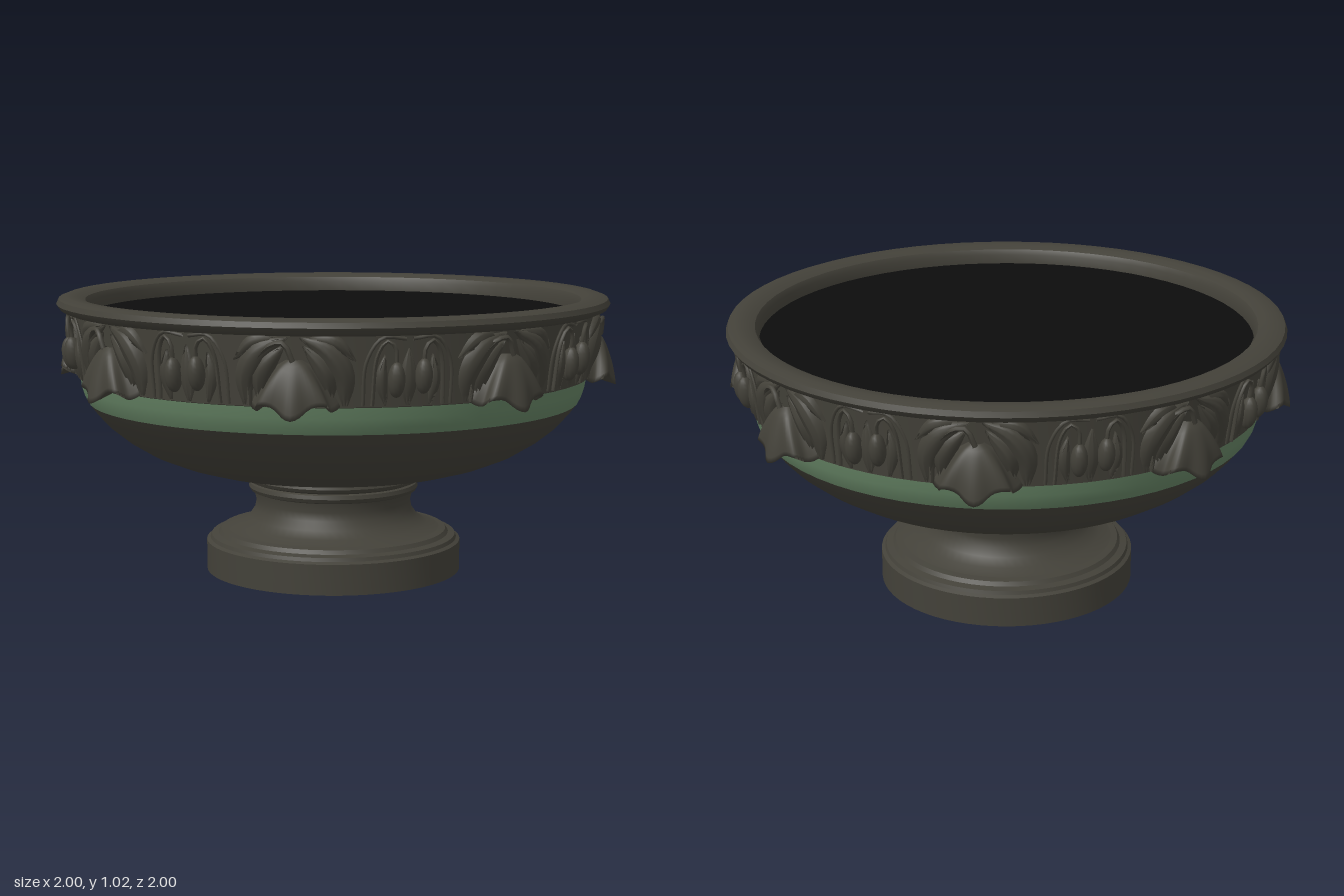
import * as THREE from 'three';
import { toCreasedNormals } from 'three/addons/utils/BufferGeometryUtils.js';

const paint = (name, color, side = THREE.FrontSide) => {
  const m = new THREE.MeshStandardMaterial({ color, side });
  m.name = name;
  return m;
};

export function createModel() {
  const urn = new THREE.Group();
  urn.name = 'gardenUrn';
  const bronze = paint('darkBronze', 0x434139, THREE.DoubleSide);
  const patina = paint('greenPatina', 0x648263);
  const soil = paint('blackFill', 0x0d0d0d);

  const add = (name, geometry, material, parent = urn) => {
    const mesh = new THREE.Mesh(geometry, material);
    mesh.name = name;
    parent.add(mesh);
    return mesh;
  };
  const turned = (name, profile, material) => {
    const points = profile.map(([r, y]) => new THREE.Vector2(r, y));
    return add(name, toCreasedNormals(new THREE.LatheGeometry(points, 64), 0.6), material);
  };

  // Turned body, from the ground up
  turned('footPlinth', [[0, 0], [0.468, 0], [0.468, 0.11], [0.455, 0.117], [0.45, 0.13],
    [0.425, 0.136], [0.415, 0.15], [0.39, 0.155]], bronze);
  turned('pedestalNeck', [[0.39, 0.155], [0.345, 0.17], [0.31, 0.195], [0.29, 0.225], [0.284, 0.255],
    [0.292, 0.29], [0.305, 0.295], [0.312, 0.308], [0.308, 0.322], [0.298, 0.326], [0.315, 0.333],
    [0.322, 0.345], [0.318, 0.357]], bronze);
  turned('lowerBowl', [[0.3, 0.355], [0.4, 0.371], [0.5, 0.39], [0.59, 0.416], [0.68, 0.453],
    [0.76, 0.502], [0.82, 0.55], [0.865, 0.6], [0.892, 0.635]], bronze);
  turned('patinaBand', [[0.892, 0.635], [0.905, 0.66], [0.914, 0.69], [0.921, 0.735]], patina);
  turned('friezeWall', [[0.919, 0.727], [0.928, 0.73], [0.945, 0.97]], bronze);
  turned('rolledRim', [[0.935, 0.965], [0.965, 0.962], [0.988, 0.972], [1, 0.99], [0.992, 1.008],
    [0.965, 1.018], [0.925, 1.016], [0.897, 1.004], [0.885, 0.985], [0.885, 0.94]], bronze);
  const fill = add('bowlFill', new THREE.CircleGeometry(0.888, 64), soil);
  fill.rotation.x = -Math.PI / 2;
  fill.position.y = 0.95;

  // Wrap relief drawn flat (x along wall, y up, z outward) around the bowl
  const wrap = (geometry) => {
    const p = geometry.attributes.position;
    for (let i = 0; i < p.count; i++) {
      const y = p.getY(i), a = p.getX(i) / 0.95;
      const r = 0.924 + 0.085 * (y - 0.72) + p.getZ(i);
      p.setXYZ(i, r * Math.sin(a), y, r * Math.cos(a));
    }
    geometry.computeVertexNormals();
    return geometry;
  };
  const grid = (nu, nv, rule) => {
    const g = new THREE.PlaneGeometry(2, 1, nu, nv);
    const p = g.attributes.position;
    for (let i = 0; i < p.count; i++) p.setXYZ(i, ...rule(p.getX(i), 0.5 - p.getY(i)));
    return wrap(g);
  };
  const curve = (points) => new THREE.CatmullRomCurve3(points.map((q) => new THREE.Vector3(...q)));
  const stem = (points, r = 0.007) => wrap(new THREE.TubeGeometry(curve(points), 14, r, 6));
  // Pointed leaf with a raised midrib, swept along a curve
  const leaf = (points, width, height) => {
    const path = curve(points);
    return grid(6, 12, (s, t) => {
      const c = path.getPoint(t), d = path.getTangent(t);
      const w = width * Math.sin(Math.PI * Math.min(0.98, t * 0.9 + 0.08)) * s;
      const z = c.z + height * (1 - s * s) * Math.sin(Math.PI * t) + 0.006 * Math.cos(s * 9);
      return [c.x - d.y * w, c.y + d.x * w, z];
    });
  };

  // Drooping flower: half bell with a flared, scalloped and turned-under hem
  const bell = grid(32, 12, (s, t) => {
    const a = s * Math.PI / 2, k = Math.min(t / 0.84, 1);
    const under = t > 0.86 ? (t - 0.86) / 0.14 : 0;
    const open = Math.pow(Math.sin(k * Math.PI / 2), 0.65);
    const fold = 1 + 0.09 * k * Math.cos(a * 8);
    const width = 0.025 + 0.085 * open + 0.03 * k * k;
    const depth = 0.025 + 0.062 * open + 0.012 * k * k;
    const hem = 0.018 * k * Math.cos(a * 5) + 0.025 * k * (1 - Math.abs(s));
    return [width * fold * Math.sin(a) * (1 - 0.3 * under),
      0.885 - 0.145 * k - hem + 0.03 * under,
      depth * fold * Math.cos(a) * (1 - 0.85 * under) - 0.004];
  });
  const flowerStem = stem([[-0.15, 0.735, 0.006], [-0.14, 0.83, 0.012], [-0.09, 0.92, 0.022],
    [-0.03, 0.94, 0.03], [0, 0.88, 0.03]], 0.009);
  const bud = (x, y) => wrap(new THREE.SphereGeometry(1, 14, 10)
    .scale(0.028, 0.058, 0.032).translate(x, y, 0.022));

  const flowerParts = [['flowerBell', bell], ['flowerStem', flowerStem]];
  const budParts = [];
  for (const m of [-1, 1]) {
    flowerParts.push(
      ['archingLeaf', leaf([[m * 0.165, 0.735, 0.004], [m * 0.16, 0.83, 0.01], [m * 0.11, 0.91, 0.014],
        [m * 0.02, 0.955, 0.008]], 0.04, 0.022)],
      ['innerLeaf', leaf([[m * 0.12, 0.76, 0.004], [m * 0.1, 0.85, 0.012], [m * 0.03, 0.93, 0.012]], 0.035, 0.02)],
      ['leafTip', leaf([[m * 0.05, 0.95, 0.004], [m * 0.13, 0.94, 0.012], [m * 0.2, 0.88, 0.006]], 0.025, 0.014)]);
    budParts.push(
      ['bud', bud(m * 0.045, 0.825 + m * 0.005)],
      ['budStalk', stem([[m * 0.045, 0.87, 0.02], [m * 0.05, 0.925, 0.022], [m * 0.075, 0.945, 0.018],
        [m * 0.105, 0.9, 0.012], [m * 0.12, 0.735, 0.006]])],
      ['reed', stem([[m * 0.012, 0.95, 0.006], [m * 0.09, 0.955, 0.012], [m * 0.14, 0.88, 0.01],
        [m * 0.15, 0.735, 0.004]], 0.006)],
      ['bladeLeaf', leaf([[m * 0.075, 0.735, 0.002], [m * 0.09, 0.82, 0.008], [m * 0.08, 0.9, 0.004]], 0.02, 0.012)]);
  }
  budParts.push(['centreBlade', leaf([[0, 0.735, 0.002], [0, 0.82, 0.006], [0, 0.92, 0.002]], 0.03, 0.01)]);

  // Eight flowers alternating with eight pairs of buds
  for (let i = 0; i < 16; i++) {
    const motif = new THREE.Group();
    motif.name = i % 2 ? 'flowerMotif' : 'budMotif';
    motif.rotation.y = i * Math.PI / 8;
    for (const [name, geometry] of i % 2 ? flowerParts : budParts) add(name, geometry, bronze, motif);
    urn.add(motif);
  }
  return urn;
}
